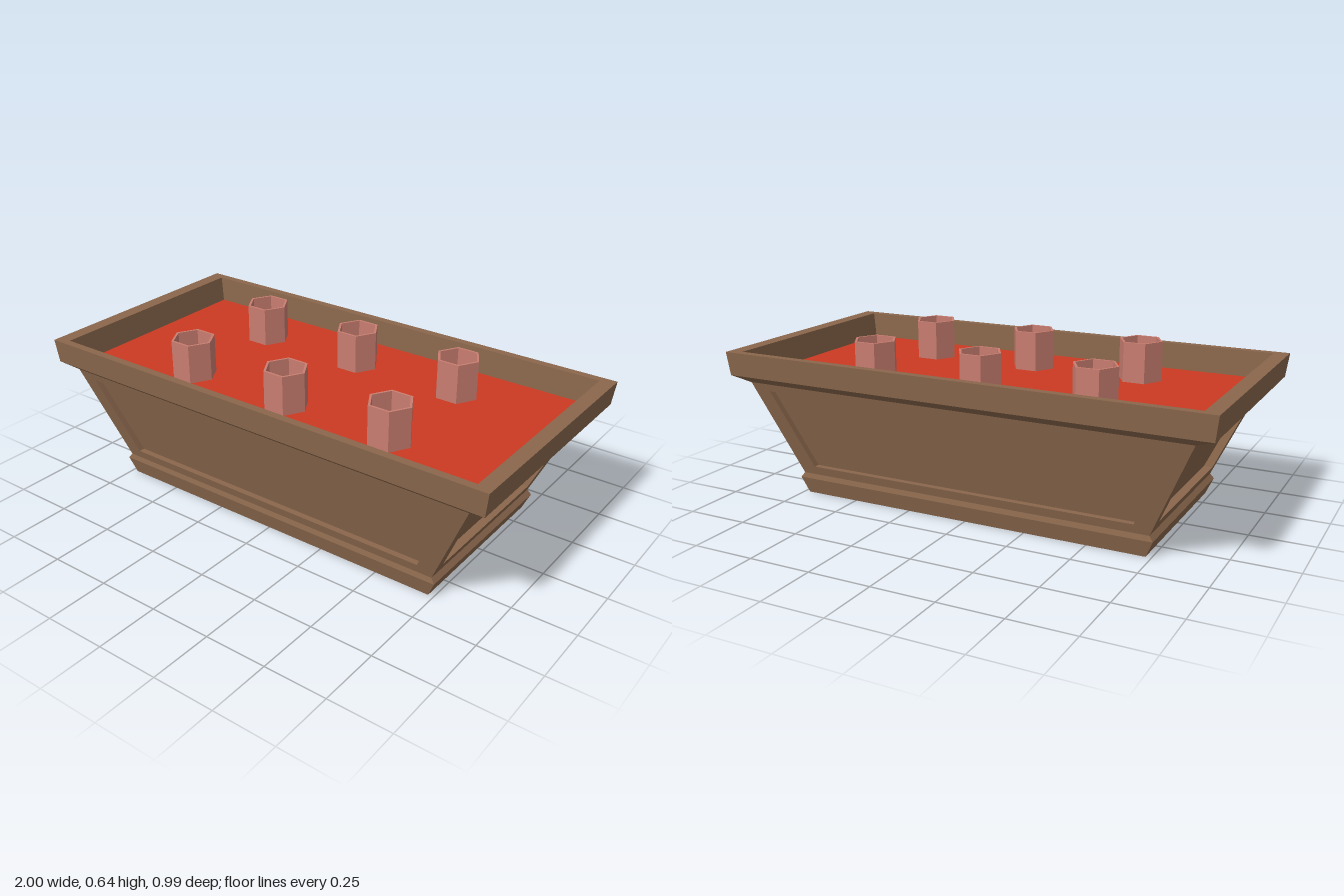
import * as THREE from 'three';

const wood = new THREE.MeshStandardMaterial({ color: 0x8a674c });
wood.name = 'brown wood';
const soilRed = new THREE.MeshStandardMaterial({ color: 0xcc3a22 });
soilRed.name = 'red soil';
const clay = new THREE.MeshStandardMaterial({ color: 0xc97d70 });
clay.name = 'pink clay';

// Flat-shaded mesh from four-cornered faces
function quadMesh(name, quads, material) {
  const pos = [];
  for (const [a, b, c, d] of quads) pos.push(...a, ...b, ...c, ...a, ...c, ...d);
  const g = new THREE.BufferGeometry();
  g.setAttribute('position', new THREE.Float32BufferAttribute(pos, 3));
  g.computeVertexNormals();
  const mesh = new THREE.Mesh(g, material);
  mesh.name = name;
  return mesh;
}

// Corners of a level [y, half width, half depth], starting front left of view
const corners = ([y, x, z]) => [[-x, y, z], [x, y, z], [x, y, -z], [-x, y, -z]];

// Walls joining successive rectangular levels
function bandQuads(levels) {
  const quads = [];
  for (let i = 0; i + 1 < levels.length; i++) {
    const a = corners(levels[i]), b = corners(levels[i + 1]);
    for (let j = 0; j < 4; j++) {
      const k = (j + 1) % 4;
      quads.push([a[j], a[k], b[k], b[j]]);
    }
  }
  return quads;
}

const BOTTOM = [0.085, 0.742, 0.368];
const TOP = [0.465, 0.915, 0.455];

// One sloping wall with a recessed panel; along = half-length index, out = distance index
function panelWall(name, along, out, panel, depth, turn) {
  const dist = (y) =>
    THREE.MathUtils.mapLinear(y, BOTTOM[0], TOP[0], BOTTOM[out], TOP[out]);
  const trapezoid = (y0, u0, y1, u1, inset) => [
    [-u0, y0, dist(y0) - inset], [u0, y0, dist(y0) - inset],
    [u1, y1, dist(y1) - inset], [-u1, y1, dist(y1) - inset]];
  const outer = trapezoid(BOTTOM[0], BOTTOM[along], TOP[0], TOP[along], 0);
  const edge = trapezoid(...panel, 0);
  const inner = trapezoid(...panel, depth);
  const quads = [inner];
  for (let j = 0; j < 4; j++) {
    const k = (j + 1) % 4;
    quads.push([outer[j], outer[k], edge[k], edge[j]]);
    quads.push([edge[j], edge[k], inner[k], inner[j]]);
  }
  const mesh = quadMesh(name, quads, wood);
  mesh.rotation.y = turn;
  return mesh;
}

export function createModel() {
  const model = new THREE.Group();
  model.name = 'planter';

  // Foot with a hollowed underside and a small ridge
  const foot = bandQuads([
    [0.05, 0.57, 0.275], [0, 0.57, 0.275], [0, 0.728, 0.36],
    [0.065, 0.757, 0.374], BOTTOM]);
  foot.push(corners([0.05, 0.57, 0.275]).reverse());
  model.add(quadMesh('foot', foot, wood));

  // Four panelled walls
  const longPanel = [0.12, 0.685, 0.435, 0.83];
  const shortPanel = [0.128, 0.325, 0.42, 0.392];
  model.add(panelWall('frontWall', 1, 2, longPanel, 0.025, 0));
  model.add(panelWall('backWall', 1, 2, longPanel, 0.025, Math.PI));
  model.add(panelWall('leftWall', 2, 1, shortPanel, 0.035, Math.PI / 2));
  model.add(panelWall('rightWall', 2, 1, shortPanel, 0.035, -Math.PI / 2));

  // Overhanging rim and its inner wall
  model.add(quadMesh('rim', bandQuads([
    TOP, [0.493, 0.988, 0.489], [0.588, 1, 0.496],
    [0.588, 0.942, 0.464], [0.483, 0.928, 0.457]]), wood));

  // Soil surface
  model.add(quadMesh('soil', [corners([0.483, 0.928, 0.457])], soilRed));

  // Six hollow hexagonal tubes
  const profile = [[0.089, 0.48], [0.089, 0.642], [0.079, 0.642], [0.079, 0.48]]
    .map(([r, y]) => new THREE.Vector2(r, y));
  const tube = new THREE.LatheGeometry(profile, 6, Math.PI / 2).toNonIndexed();
  tube.computeVertexNormals();
  for (const x of [-0.473, -0.005, 0.463]) {
    for (const z of [-0.236, 0.233]) {
      const mesh = new THREE.Mesh(tube, clay);
      mesh.name = 'hexTube';
      mesh.position.set(x, 0, z);
      model.add(mesh);
    }
  }
  return model;
}
